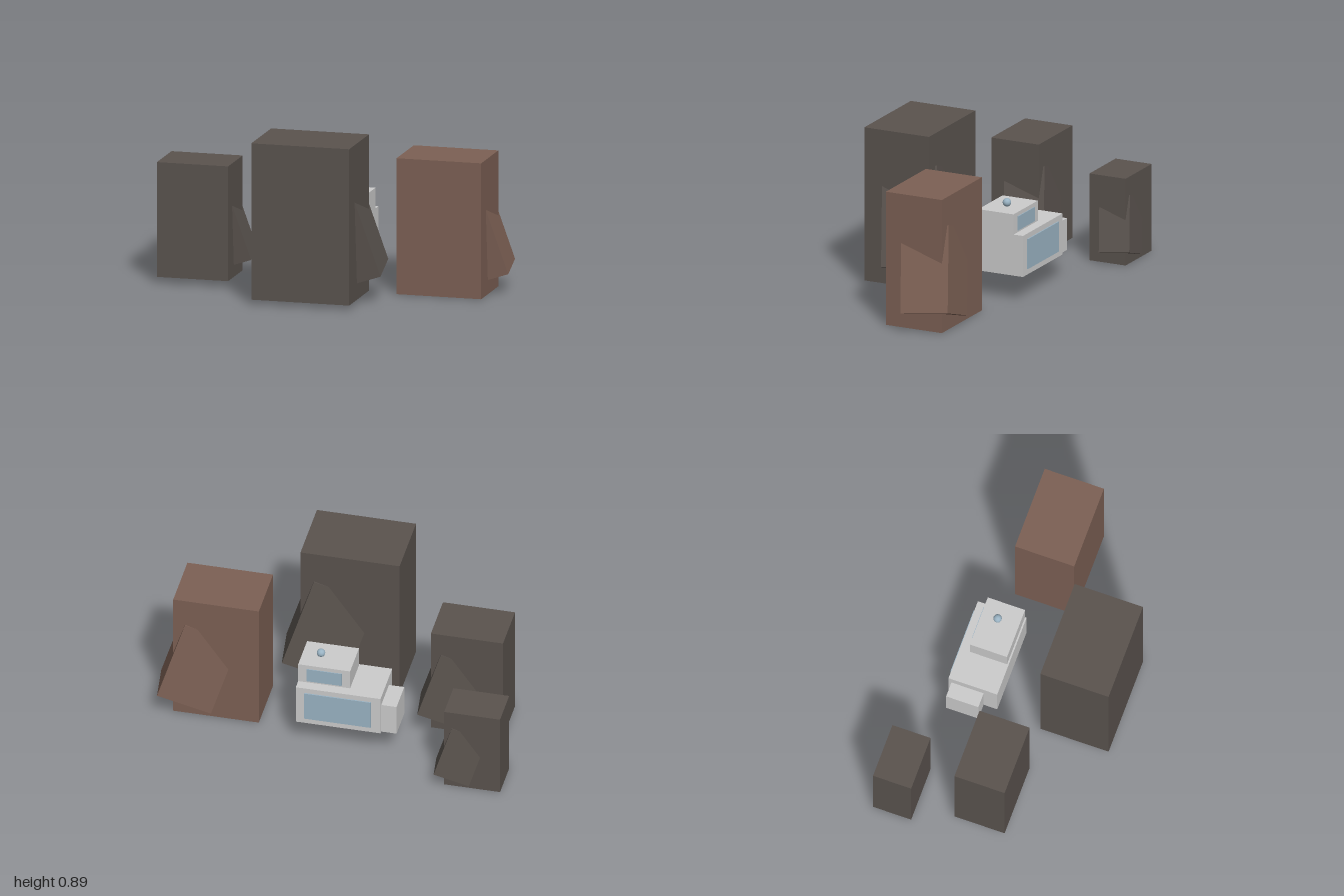
import * as THREE from 'three';

const mat = (color) => new THREE.MeshStandardMaterial({ color, flatShading: true });

// Box given by its min and max corners
function boxBetween(name, min, max, material) {
  const size = max.map((v, i) => v - min[i]);
  const mesh = new THREE.Mesh(new THREE.BoxGeometry(...size), material);
  mesh.position.set(...max.map((v, i) => (v + min[i]) / 2));
  mesh.name = name;
  return mesh;
}

// Upright block with a smaller tilted block leaning out of its side and back
function makeRock(name, min, max, material) {
  const rock = new THREE.Group();
  rock.name = name;
  const block = boxBetween('rockBlock', min, max, material);
  const { width: w, height: h, depth: d } = block.geometry.parameters;
  const slab = new THREE.Mesh(new THREE.BoxGeometry(w * 0.65, h * 0.635, d * 0.8), material);
  slab.name = 'tiltedRockSlab';
  slab.position.copy(block.position).add(new THREE.Vector3(w * 0.24, -h * 0.092, -d * 0.177));
  slab.rotation.set(0.1, 0.14, 0.3);
  rock.add(block, slab);
  return rock;
}

export function createModel() {
  const model = new THREE.Group();
  model.name = 'rocksAndStation';

  const darkStone = mat(0x5a534e);
  const brownStone = mat(0x7c6054);
  const wall = mat(0xcccccc);
  const glass = mat(0x9ab3c3);

  // Four floating rocks
  model.add(
    makeRock('largeRock', [-0.28, 0.025, 0.18], [0.27, 0.89, 0.572], darkStone),
    makeRock('brownRock', [0.41, 0.003, -0.213], [0.885, 0.755, 0.127], brownStone),
    makeRock('mediumRock', [-0.915, 0.035, -0.085], [-0.515, 0.67, 0.203], darkStone),
    makeRock('smallRock', [-1, 0, -0.522], [-0.69, 0.49, -0.303], darkStone)
  );

  // Small stepped building with windows on its back
  const station = new THREE.Group();
  station.name = 'station';
  station.add(
    boxBetween('mainRoom', [-0.295, 0.145, -0.342], [0.175, 0.377, -0.062], wall),
    boxBetween('upperRoom', [-0.113, 0.377, -0.285], [0.175, 0.491, -0.071], wall),
    boxBetween('sideAnnex', [-0.38, 0.145, -0.325], [-0.295, 0.325, -0.14], wall),
    boxBetween('mainWindow', [-0.242, 0.178, -0.349], [0.127, 0.347, -0.335], glass),
    boxBetween('upperWindow', [-0.067, 0.388, -0.29], [0.127, 0.468, -0.278], glass)
  );

  // Beacon ball on the roof
  const beacon = new THREE.Mesh(
    new THREE.SphereGeometry(0.023, 24, 16),
    new THREE.MeshStandardMaterial({ color: 0x9ab3c3 })
  );
  beacon.name = 'roofBeacon';
  beacon.position.set(0.07, 0.518, -0.191);
  station.add(beacon);
  model.add(station);

  return model;
}
